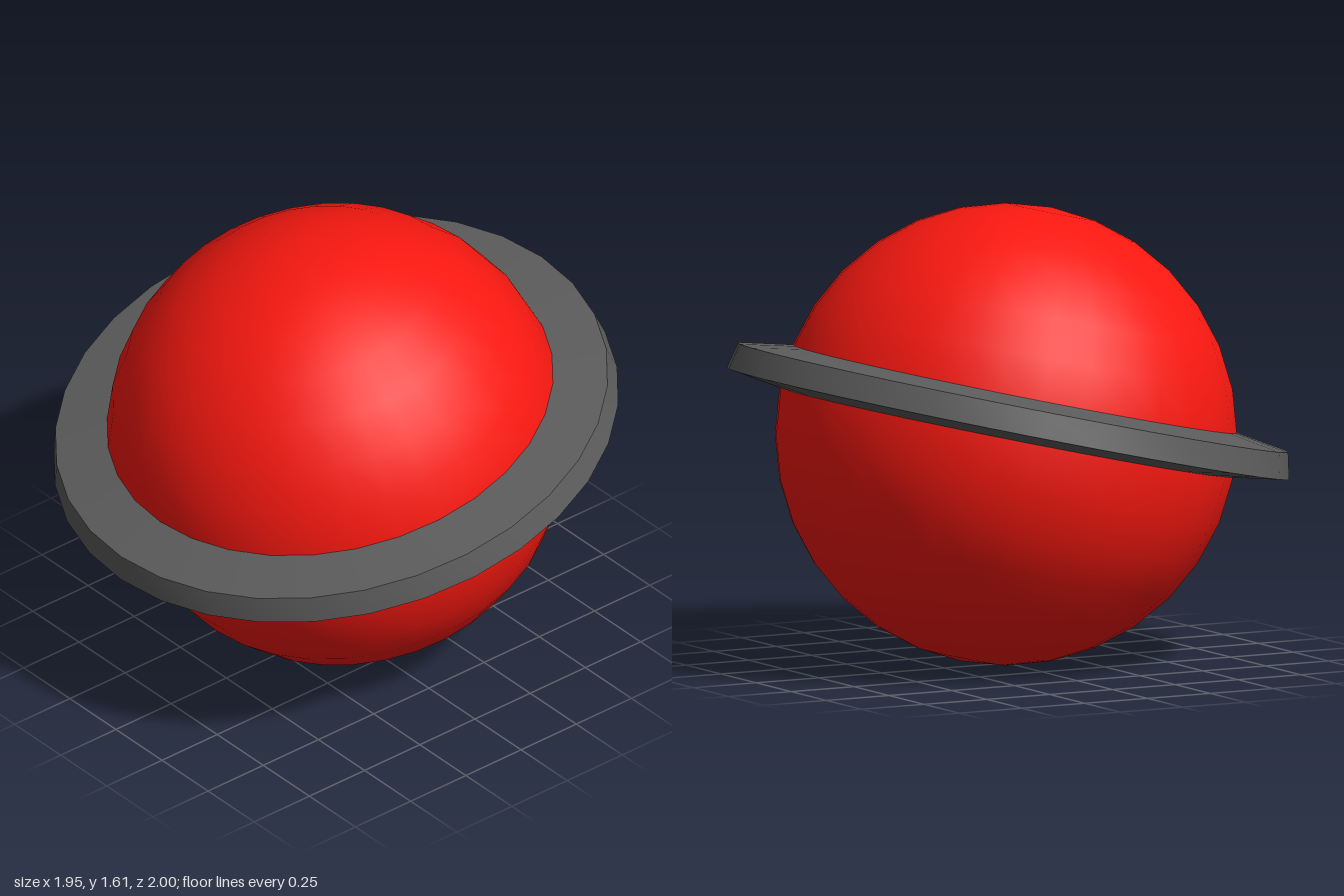
import * as THREE from 'three';
import { toCreasedNormals } from 'three/addons/utils/BufferGeometryUtils.js';

export function createModel() {
  const model = new THREE.Group();
  model.name = 'ringedPlanet';

  // Planet and ring share one tilted axis
  model.position.set(0.005, 0.805, 0);
  model.rotation.z = THREE.MathUtils.degToRad(12.9);

  // Planet: smooth sphere
  const planet = new THREE.Mesh(
    new THREE.SphereGeometry(0.805, 32, 16),
    new THREE.MeshStandardMaterial({ color: 0xf81810 })
  );
  planet.name = 'planet';
  model.add(planet);

  // Ring: band that tapers outward, with its inner wall sunk in the planet
  const profile = [
    [0.7, -0.009], [0.999, 0.0375], [0.977, 0.13], [0.7, 0.173], [0.7, -0.009],
  ].map(([r, y]) => new THREE.Vector2(r, y));
  const ring = new THREE.Mesh(
    toCreasedNormals(new THREE.LatheGeometry(profile, 32), Math.PI / 6),
    new THREE.MeshStandardMaterial({ color: 0x5c5c5c })
  );
  ring.name = 'ring';
  model.add(ring);

  const root = new THREE.Group();
  root.add(model);
  return root;
}
